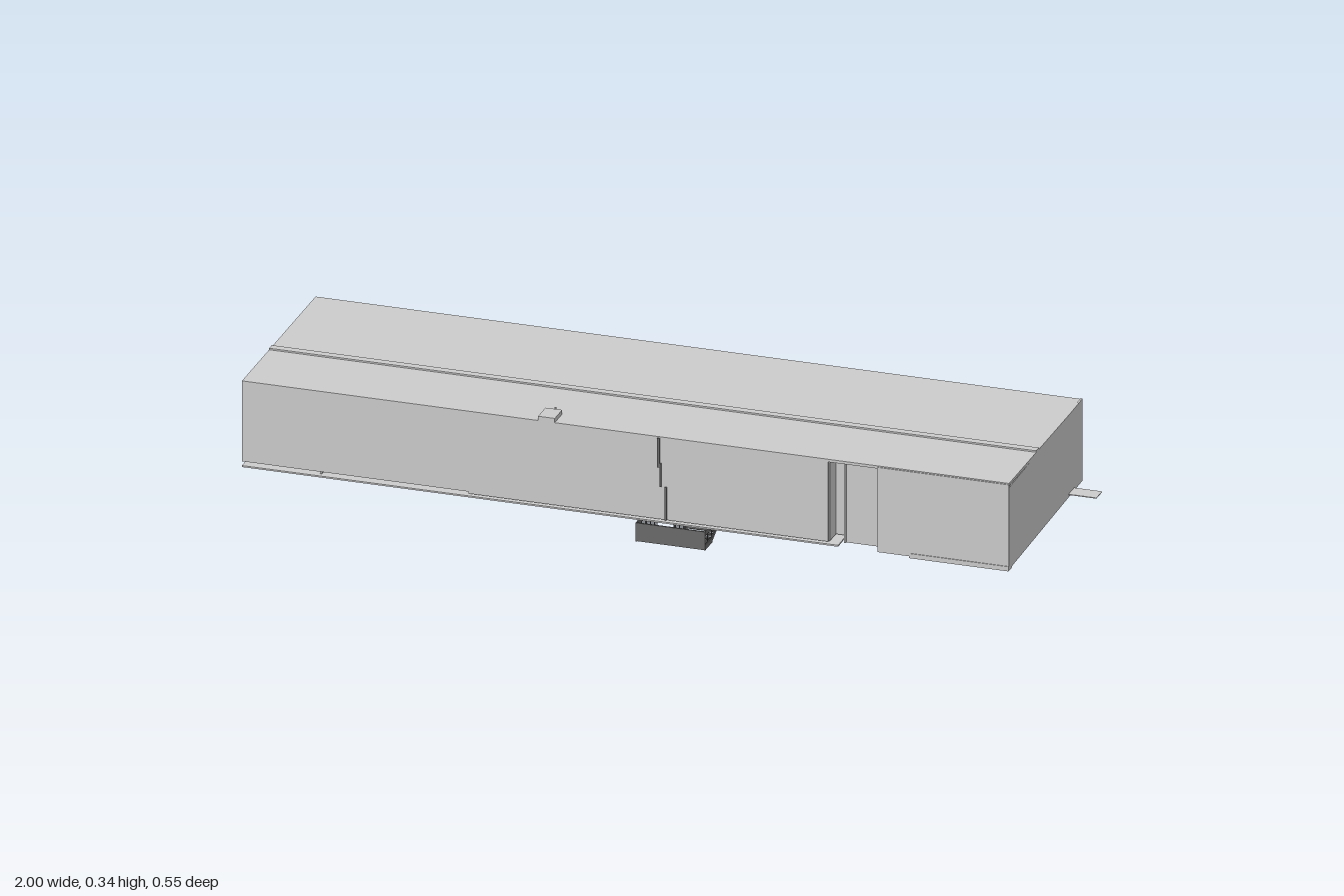
import * as THREE from 'three';

const grey = new THREE.MeshStandardMaterial({ color: 0xcccccc, flatShading: true });
const dark = new THREE.MeshStandardMaterial({ color: 0x6b6b6b, flatShading: true });
const red = new THREE.MeshStandardMaterial({ color: 0xc00000, flatShading: true });

// Box given by its lower and upper bounds
function box(parent, name, [x0, x1], [y0, y1], [z0, z1], mat = grey) {
  const m = new THREE.Mesh(new THREE.BoxGeometry(x1 - x0, y1 - y0, z1 - z0), mat);
  m.position.set((x0 + x1) / 2, (y0 + y1) / 2, (z0 + z1) / 2);
  m.name = name;
  parent.add(m);
  return m;
}

// Flat band in the y/z plane between points [z, y], of a given height and x width
function slopedBand(parent, name, x, width, [za, ya], [zb, yb], height, mat = dark) {
  const s = new THREE.Shape([[za, ya], [zb, yb], [zb, yb + height], [za, ya + height]]
    .map(([z, y]) => new THREE.Vector2(-z, y)));
  const m = new THREE.Mesh(new THREE.ExtrudeGeometry(s, { depth: width, bevelEnabled: false }), mat);
  m.rotation.y = Math.PI / 2;
  m.position.x = x;
  m.name = name;
  parent.add(m);
}

const TOP = 0.325, T = 0.005;
const group = (parent, name) => {
  const g = new THREE.Group();
  g.name = name;
  parent.add(g);
  return g;
};

function buildRoof(root) {
  const g = group(root, 'roof');
  box(g, 'roofSlab', [-1, 0.93], [TOP - 0.004, TOP + 0.003], [-0.272, 0.27]);
  box(g, 'roofStrip', [-1, 0.93], [TOP, 0.332], [0.05, 0.07]);
  box(g, 'roofHatch', [-0.255, -0.213], [TOP, 0.339], [0.215, 0.27]);
  box(g, 'roofPost', [-0.236, -0.232], [TOP, 0.338], [0.202, 0.206]);
}

function buildFloor(root) {
  // Outline as [x, z], with recessed entrances along the back and front
  const outline = [
    [-1, 0.27], [0.5, 0.27], [0.5, 0.2], [0.68, 0.2], [0.68, 0.27], [0.93, 0.27],
    [0.93, -0.16], [0.5, -0.14], [0.5, -0.265], [0.38, -0.255], [0.38, -0.15],
    [0.1, -0.15], [0.1, -0.19], [0.04, -0.19], [0.04, -0.14], [-0.25, -0.14],
    [-0.25, -0.24], [-0.8, -0.24], [-0.8, -0.175], [-1, -0.195],
  ];
  const s = new THREE.Shape(outline.map(([x, z]) => new THREE.Vector2(x, -z)));
  const m = new THREE.Mesh(new THREE.ExtrudeGeometry(s, { depth: 0.004, bevelEnabled: false }), grey);
  m.rotation.x = -Math.PI / 2 + 0.024;
  m.position.y = 0.1115;
  m.name = 'floor';
  root.add(m);
  box(root, 'sidePlatform', [0.93, 1], [0.122, 0.124], [-0.21, -0.168]);
}

function buildWalls(root) {
  const g = group(root, 'walls');
  // Front: x range, bottom height, face position
  for (const [a, b, y, z] of [[-1, -0.43, 0.12, 0.27], [-0.43, 0.475, 0.115, 0.27],
    [0.475, 0.515, 0.115, 0.22], [0.515, 0.6, 0.115, 0.26], [0.6, 0.93, 0.106, 0.272]]) {
    box(g, 'frontWall', [a, b], [y, TOP], [z - T, z]);
  }
  for (const x of [0.475, 0.515]) box(g, 'frontReturn', [x - T / 2, x + T / 2], [0.115, TOP], [0.215, 0.265]);
  box(g, 'frontBase', [0.68, 0.93], [0.102, 0.114], [0.25, 0.274]);

  // Back: full-height walls and deep recesses
  for (const [a, b, z] of [[-0.19, 0.93, -0.272], [-0.285, -0.19, -0.17], [-0.36, -0.285, -0.25],
    [-0.78, -0.36, -0.272], [-1, -0.78, -0.19], [-1, -0.91, -0.268]]) {
    box(g, 'backWall', [a, b], [0.119, TOP], [z, z + T]);
  }
  for (const [x, z] of [[-0.19, -0.165], [-0.285, -0.165], [-0.36, -0.25], [-0.78, -0.185]]) {
    box(g, 'backReturn', [x - T / 2, x + T / 2], [0.119, TOP], [-0.271, z]);
  }

  // Right end is closed and follows the sloping ground
  slopedBand(g, 'rightWall', 0.925, T, [0.27, 0.105], [-0.272, 0.118], 0.212, grey);

  // Left end is open, with an inner wall and cross bracing
  box(g, 'leftInnerWall', [-0.935, -0.93], [0.117, TOP], [-0.19, 0.015]);
  box(g, 'leftInnerReturn', [-0.935, -0.8], [0.113, TOP], [0.012, 0.017]);
  box(g, 'leftBackWall', [-0.805, -0.8], [0.113, TOP], [0.015, 0.266]);
  box(g, 'leftColumn', [-0.998, -0.99], [0.113, TOP], [0.012, 0.02], dark);
  slopedBand(g, 'brace', -0.996, 0.004, [0.02, 0.12], [0.26, 0.31], 0.008);
  slopedBand(g, 'brace', -0.992, 0.004, [0.02, 0.31], [0.26, 0.12], 0.008);

  // Slim service pipe on the front
  box(g, 'pipe', [0.046, 0.052], [0.25, TOP], [0.27, 0.274], dark);
  box(g, 'pipe', [0.052, 0.056], [0.2, 0.26], [0.27, 0.274], dark);
  box(g, 'pipe', [0.064, 0.07], [0.115, 0.2], [0.27, 0.274], dark);
}

function buildEntrances(root) {
  const g = group(root, 'entrances');
  // Partition behind the back entrance, with side walls and red doors
  box(g, 'partition', [-0.25, 0.93], [0.116, TOP], [-0.14, -0.135]);
  for (const x of [0.5, 0.38, 0.2, 0.1, 0.04, -0.15]) {
    box(g, 'sidePartition', [x - T / 2, x + T / 2], [0.118, TOP], [-0.19, -0.137]);
  }
  for (const x of [0.29, -0.09]) box(g, 'redDoor', [x - 0.02, x + 0.02], [0.117, 0.2], [-0.146, -0.139], red);
  // Small red fixtures on the back wall
  for (const [x, y, h] of [[-0.01, 0.25, 0.025], [-0.035, 0.24, 0.016], [-0.035, 0.262, 0.012]]) {
    box(g, 'redFixture', [x - 0.006, x + 0.006], [y, y + h], [-0.274, -0.27], red);
  }
  box(g, 'backVent', [0.19, 0.25], [0.3, 0.318], [-0.274, -0.27]);
}

function buildStairs(root) {
  const g = group(root, 'stairs');
  // Landing with solid front panel and railed sides
  box(g, 'landing', [-0.01, 0.165], [0.05, 0.054], [0.215, 0.27], dark);
  box(g, 'landingFront', [-0.01, 0.165], [0.05, 0.097], [0.266, 0.27], dark);
  for (const x of [-0.01, 0.162]) {
    box(g, 'landingEdge', [x, x + 0.003], [0.049, 0.062], [0.215, 0.27], dark);
    box(g, 'landingRail', [x, x + 0.003], [0.085, 0.097], [0.215, 0.27], dark);
    for (let z = 0.22; z < 0.266; z += 0.006) {
      box(g, 'baluster', [x + 0.001, x + 0.002], [0.06, 0.087], [z, z + 0.001], dark);
    }
  }
  // Two flights: one down to the ground, one up to the floor
  for (const [name, x0, x1, yEnd] of [['lowerFlight', -0.01, 0.068, 0], ['upperFlight', 0.088, 0.165, 0.104]]) {
    const f = group(g, name);
    const zA = 0.22, zB = yEnd ? 0.105 : 0.11, yA = 0.05;
    const at = z => yA + (yEnd - yA) * (zA - z) / (zA - zB);
    for (const x of [x0, x1 - 0.003]) {
      slopedBand(f, 'stringer', x, 0.003, [zA, yA], [zB, yEnd], 0.012);
      const zr = yEnd ? 0.17 : zB;
      slopedBand(f, 'handrail', x, 0.003, [zA, yA + 0.035], [zr, at(zr) + 0.035], 0.011);
      for (let z = zB + 0.002; z < zA; z += 0.006) {
        const y = at(z), top = Math.min(y + 0.037, 0.114);
        if (top > y + 0.01) box(f, 'baluster', [x + 0.001, x + 0.002], [y + 0.01, top], [z, z + 0.001], dark);
      }
    }
    for (let i = 0; i < 10; i++) {
      const z = zA - (i + 0.5) * (zA - zB) / 10;
      box(f, 'tread', [x0, x1], [at(z) + 0.004, at(z) + 0.006], [z - 0.006, z + 0.006], dark);
    }
  }
}

export function createModel() {
  const root = new THREE.Group();
  root.name = 'building';
  buildRoof(root);
  buildFloor(root);
  buildWalls(root);
  buildEntrances(root);
  buildStairs(root);
  return root;
}
